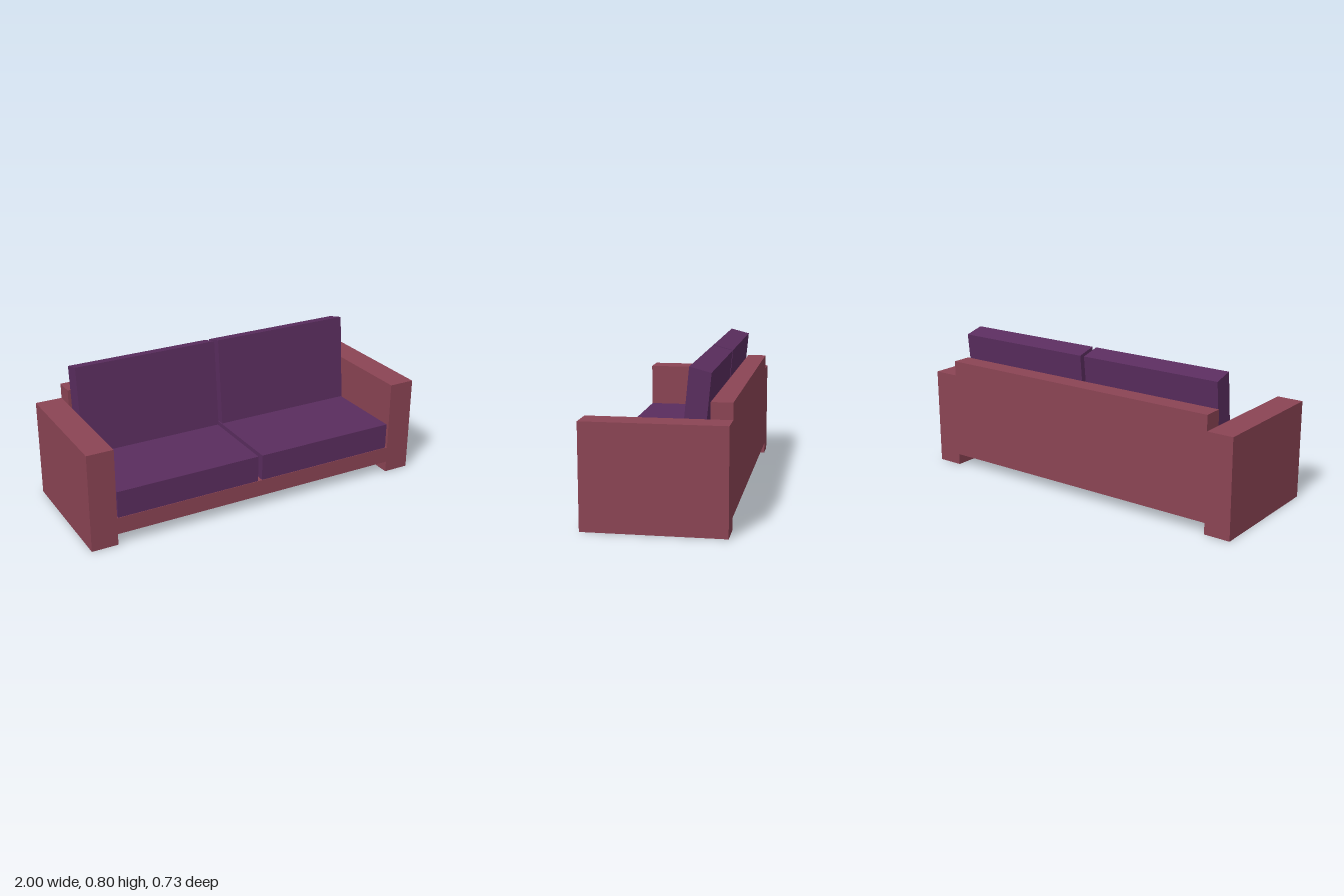
import * as THREE from 'three';

export function createModel() {
  const sofa = new THREE.Group();
  sofa.name = 'sofa';
  const frameMat = new THREE.MeshStandardMaterial({ color: 0x8b4454, flatShading: true });
  const cushionMat = new THREE.MeshStandardMaterial({ color: 0x5a2d5e, flatShading: true });

  // Box given by its minimum and maximum corners
  function addBox(name, material, [x0, y0, z0], [x1, y1, z1]) {
    const mesh = new THREE.Mesh(new THREE.BoxGeometry(x1 - x0, y1 - y0, z1 - z0), material);
    mesh.position.set((x0 + x1) / 2, (y0 + y1) / 2, (z0 + z1) / 2);
    mesh.name = name;
    sofa.add(mesh);
  }

  // Frame: raised base, backrest and two arms that reach the floor
  addBox('base', frameMat, [-0.852, 0.063, -0.257], [0.852, 0.157, 0.367]);
  addBox('backrest', frameMat, [-0.852, 0.063, -0.367], [0.852, 0.634, -0.257]);
  addBox('rightArm', frameMat, [-1, 0, -0.367], [-0.852, 0.549, 0.367]);
  addBox('leftArm', frameMat, [0.852, 0, -0.367], [1, 0.549, 0.367]);

  // Leaning back cushion profile, drawn as (z, y) and extruded along x
  const profile = new THREE.Shape([
    [-0.099, 0.267], [-0.151, 0.802], [-0.26, 0.774], [-0.208, 0.239],
  ].map(([z, y]) => new THREE.Vector2(-z, y)));
  const width = 0.83;
  const backGeometry = new THREE.ExtrudeGeometry(profile, { depth: width, bevelEnabled: false });
  backGeometry.rotateY(Math.PI / 2);

  // One seat and one back cushion on each side
  for (const [side, x] of [['right', -0.845], ['left', 0.01]]) {
    addBox(side + 'SeatCushion', cushionMat, [x, 0.157, -0.257], [x + width, 0.306, 0.364]);
    const back = new THREE.Mesh(backGeometry, cushionMat);
    back.position.x = x + 0.005;
    back.name = side + 'BackCushion';
    sofa.add(back);
  }
  return sofa;
}
